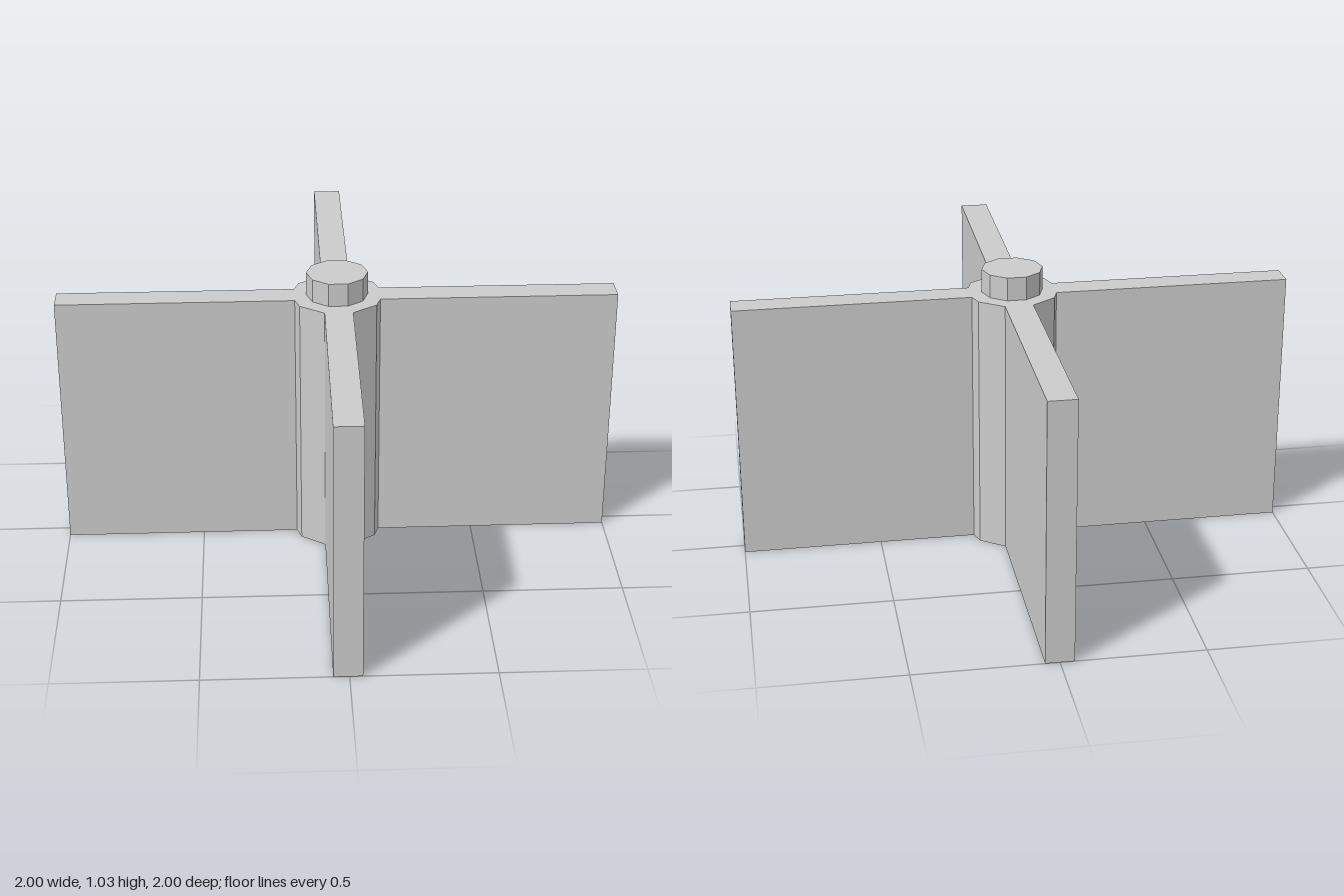
import * as THREE from 'three';

const BODY_HEIGHT = 0.945;

export function createModel() {
  const group = new THREE.Group();
  group.name = 'crossVane';
  const material = new THREE.MeshStandardMaterial({ color: 0xcccccc, flatShading: true });

  // One quadrant of the plan: blade tip, ten-sided hub facets, next blade tip
  const quadrant = [[1, 0.05], [0.152, 0.05], [0.136, 0.099], [0.05, 0.16], [0.05, 1]];
  const outline = [];
  [[1, 1], [-1, 1], [-1, -1], [1, -1]].forEach(([sx, sy], i) => {
    const points = i % 2 ? [...quadrant].reverse() : quadrant;
    for (const [px, py] of points) {
      const x = px * sx, y = py * sy;
      // the blades lean very slightly out of square towards their tips
      const dx = py === 1 ? 0.0025 * (y - 1) : 0;
      const dy = px === 1 ? 0.003 * x : 0;
      outline.push(new THREE.Vector2(x + dx, y + dy));
    }
  });

  // Four blades and hub in one upright extrusion
  const bodyGeometry = new THREE.ExtrudeGeometry(new THREE.Shape(outline), {
    depth: BODY_HEIGHT, bevelEnabled: false,
  });
  bodyGeometry.rotateX(-Math.PI / 2);
  const body = new THREE.Mesh(bodyGeometry, material);
  body.name = 'bladesAndHub';
  group.add(body);

  // Ten-sided cap on top of the hub, with a corner on the x axis
  const capHeight = 0.085;
  const cap = new THREE.Mesh(
    new THREE.CylinderGeometry(0.11, 0.11, capHeight, 10, 1, false, Math.PI / 2), material);
  cap.name = 'hubCap';
  cap.position.y = BODY_HEIGHT + capHeight / 2;
  group.add(cap);

  return group;
}
